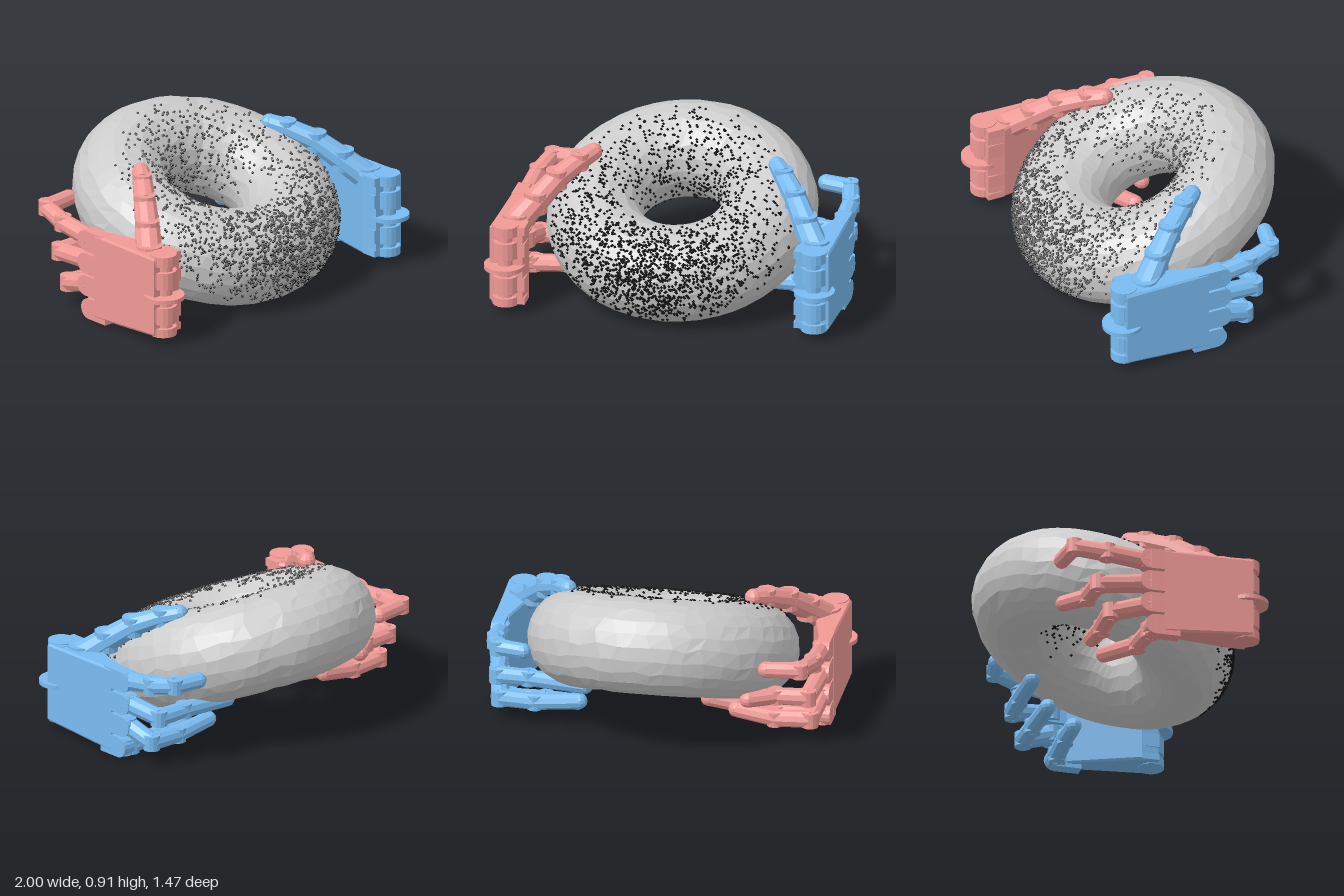
import * as THREE from 'three';
import { mergeGeometries } from 'three/addons/utils/BufferGeometryUtils.js';

const R = 0.492, r = 0.272;
const CENTRE = new THREE.Vector3(-0.012, 0.458, -0.005);
const TILT = -THREE.MathUtils.degToRad(68.5);

const paint = color => new THREE.MeshStandardMaterial({ color, flatShading: true });

function seeded(seed) {
  return () => {
    seed = (seed * 1664525 + 1013904223) % 4294967296;
    return seed / 4294967296;
  };
}

function add(parent, name, geometry, material, x = 0, y = 0, z = 0) {
  const mesh = new THREE.Mesh(geometry, material);
  mesh.name = name;
  mesh.position.set(x, y, z);
  parent.add(mesh);
  return mesh;
}

// Tilted ring with slightly uneven facets and a seam across the back
function makeRing() {
  const g = new THREE.TorusGeometry(R, r, 22, 46);
  const p = g.attributes.position;
  for (let i = 0; i < p.count; i++) {
    const x = p.getX(i), y = p.getY(i), z = p.getZ(i);
    const n = Math.sin(31 * x + 17 * z) * Math.cos(27 * y - 13 * z);
    const v = Math.atan2(z, Math.hypot(x, y) - R) + 0.06 * n;
    const u = Math.atan2(y, x) + 0.035 * Math.sin(23 * z + 19 * x - 11 * y);
    const rr = Math.abs(Math.atan2(y, x) - 1.12) < 0.07 ? r * 0.975 : r;
    const d = R + rr * Math.cos(v);
    p.setXYZ(i, d * Math.cos(u), d * Math.sin(u), rr * Math.sin(v));
  }
  g.rotateX(TILT);
  g.computeVertexNormals();
  return g;
}

// Small specks scattered over the part of the ring seen from a point in front
function makeSpecks() {
  const rand = seeded(7), eye = new THREE.Vector3(0, 0.8, 1.7);
  const axis = new THREE.Vector3(1, 0, 0), specks = [];
  const unit = new THREE.OctahedronGeometry(0.01);
  while (specks.length < 2300) {
    const u = rand() * Math.PI * 2, v = rand() * Math.PI * 2;
    const d = R + r * Math.cos(v);
    const normal = new THREE.Vector3(Math.cos(v) * Math.cos(u), Math.cos(v) * Math.sin(u), Math.sin(v))
      .applyAxisAngle(axis, TILT);
    const pos = new THREE.Vector3(d * Math.cos(u), d * Math.sin(u), r * Math.sin(v))
      .applyAxisAngle(axis, TILT).add(CENTRE);
    const view = eye.clone().sub(pos), dist = view.length();
    const chance = (d / (R + r)) * (normal.dot(view) / dist) / (dist * dist) * 0.9;
    if (rand() < chance) specks.push(unit.clone().translate(pos.x, pos.y, pos.z));
  }
  return mergeGeometries(specks);
}

// Tapered bar between two points
function bar(parent, name, a, b, ra, rb, material) {
  const dir = b.clone().sub(a);
  const mesh = add(parent, name, new THREE.CylinderGeometry(rb, ra, dir.length(), 10), material);
  mesh.position.copy(a).lerp(b, 0.5);
  mesh.quaternion.setFromUnitVectors(new THREE.Vector3(0, 1, 0), dir.normalize());
}

// Jointed finger: tapered bones, rounded joints and a rounded tip
function digit(parent, name, points, radius, taper, material) {
  const finger = new THREE.Group();
  finger.name = name;
  parent.add(finger);
  const pts = points.map(p => new THREE.Vector3(...p));
  const last = pts.length - 1;
  const size = i => radius * (1 - (taper * i) / last);
  for (let i = 0; i <= last; i++) {
    const s = size(i);
    if (i < last) {
      bar(finger, 'bone', pts[i], pts[i + 1], s, size(i + 1), material);
      add(finger, 'hinge', new THREE.CylinderGeometry(s * 0.95, s * 0.95, s * 1.7, 12), material, ...points[i]);
    } else {
      add(finger, 'fingertip', new THREE.SphereGeometry(s, 10, 8), material, ...points[i]);
    }
  }
}

// Mechanical hand; side is +1 for the model's left, -1 for its right.
// shift moves the hand forward, stretch lengthens the fingers toward the back,
// and tips are the end points of the four fingers on the ring.
function makeHand(name, side, color, { shift, stretch, tips }) {
  const hand = new THREE.Group();
  hand.name = name;
  hand.position.z = shift;
  const m = paint(color);

  // Wedge-shaped palm, thick at the wrist, thin and slightly deeper toward the fingers
  const plan = [[0.96, 0.53], [0.785, 0.53], [0.775, 0.44], [0.88, 0.04], [0.95, 0.04]];
  const shape = new THREE.Shape(plan.map(([x, z]) => new THREE.Vector2(x * side, -z)));
  const palm = new THREE.ExtrudeGeometry(shape, { depth: 0.46, bevelSize: 0.008, bevelThickness: 0.012, bevelSegments: 1 });
  palm.rotateX(-Math.PI / 2);
  const p = palm.attributes.position;
  for (let i = 0; i < p.count; i++) {
    if (p.getY(i) < 0.1) p.setY(i, p.getY(i) + 0.02 - 0.07 * (0.54 - p.getZ(i)));
  }
  palm.computeVertexNormals();
  add(hand, 'palm', palm, m, 0, 0.06, 0);

  // Wrist hinge lobes, pin and large disc
  for (const [y, h] of [[0.51, 0.06], [0.395, 0.1], [0.185, 0.1], [0.085, 0.05]]) {
    add(hand, 'wristLobe', new THREE.CylinderGeometry(0.075, 0.075, h, 16), m, 0.88 * side, y, 0.52);
    add(hand, 'wristTab', new THREE.BoxGeometry(0.19, h * 0.8, 0.1), m, 0.862 * side, y, 0.49);
  }
  add(hand, 'wristPin', new THREE.CylinderGeometry(0.045, 0.045, 0.46, 12), m, 0.88 * side, 0.3, 0.53);
  add(hand, 'wristDisc', new THREE.CylinderGeometry(0.115, 0.115, 0.025, 32), m, 0.885 * side, 0.29, 0.53);

  // Rounded knuckles at the finger edge of the palm
  for (const [y, z] of [[0.473, -0.05], [0.338, -0.05], [0.205, -0.05], [0.072, -0.02]]) {
    add(hand, 'knuckleBlock', new THREE.BoxGeometry(0.075, 0.12, 0.14), m, 0.918 * side, y, z + 0.07);
    const k = add(hand, 'knuckle', new THREE.CylinderGeometry(0.06, 0.06, 0.075, 16), m, 0.918 * side, y, z);
    k.rotation.z = Math.PI / 2;
  }

  // Fingers: knuckle and two joints, closed by the given tip
  const fingers = {
    indexFinger: [[0.905, 0.473, -0.05], [0.9, 0.5, -0.24], [0.86, 0.53, -0.39]],
    middleFinger: [[0.905, 0.338, -0.05], [0.88, 0.31, -0.28], [0.7, 0.31, -0.29]],
    ringFinger: [[0.905, 0.205, -0.05], [0.88, 0.145, -0.22], [0.68, 0.135, -0.22]],
    littleFinger: [[0.905, 0.068, -0.02], [0.86, 0.065, -0.03], [0.65, 0.075, -0.04]],
  };
  Object.entries(fingers).forEach(([label, joints], f) => {
    const placed = joints.map(([x, y, z], i) => [x * side, y, i ? z * stretch : z]);
    const [x, y, z] = tips[f];
    digit(hand, label, [...placed, [x * side, y, z - shift]], 0.054, 0.15, m);
  });
  const thumb = [[0.86, 0.48, 0.38], [0.77, 0.58, 0.27], [0.68, 0.68, 0.15], [0.58, 0.745, 0.02], [0.52, 0.77, -0.06]];
  digit(hand, 'thumb', thumb.map(([x, y, z]) => [x * side, y, z]), 0.078, 0.36, m);
  return hand;
}

export function createModel() {
  const model = new THREE.Group();
  model.name = 'handsHoldingRing';
  add(model, 'ring', makeRing(), paint(0xcccccc), ...CENTRE.toArray());
  add(model, 'surfaceSpecks', makeSpecks(), paint(0x111111));
  model.add(makeHand('leftHand', 1, 0x7abcf2, {
    shift: 0, stretch: 1,
    tips: [[0.71, 0.53, -0.42], [0.38, 0.29, -0.3], [0.43, 0.15, -0.2], [0.47, 0.07, -0.04]],
  }));
  model.add(makeHand('rightHand', -1, 0xf09a96, {
    shift: 0.07, stretch: 1.2,
    tips: [[0.67, 0.53, -0.42], [0.56, 0.32, -0.38], [0.46, 0.17, -0.19], [0.28, 0.17, -0.07]],
  }));
  return model;
}
